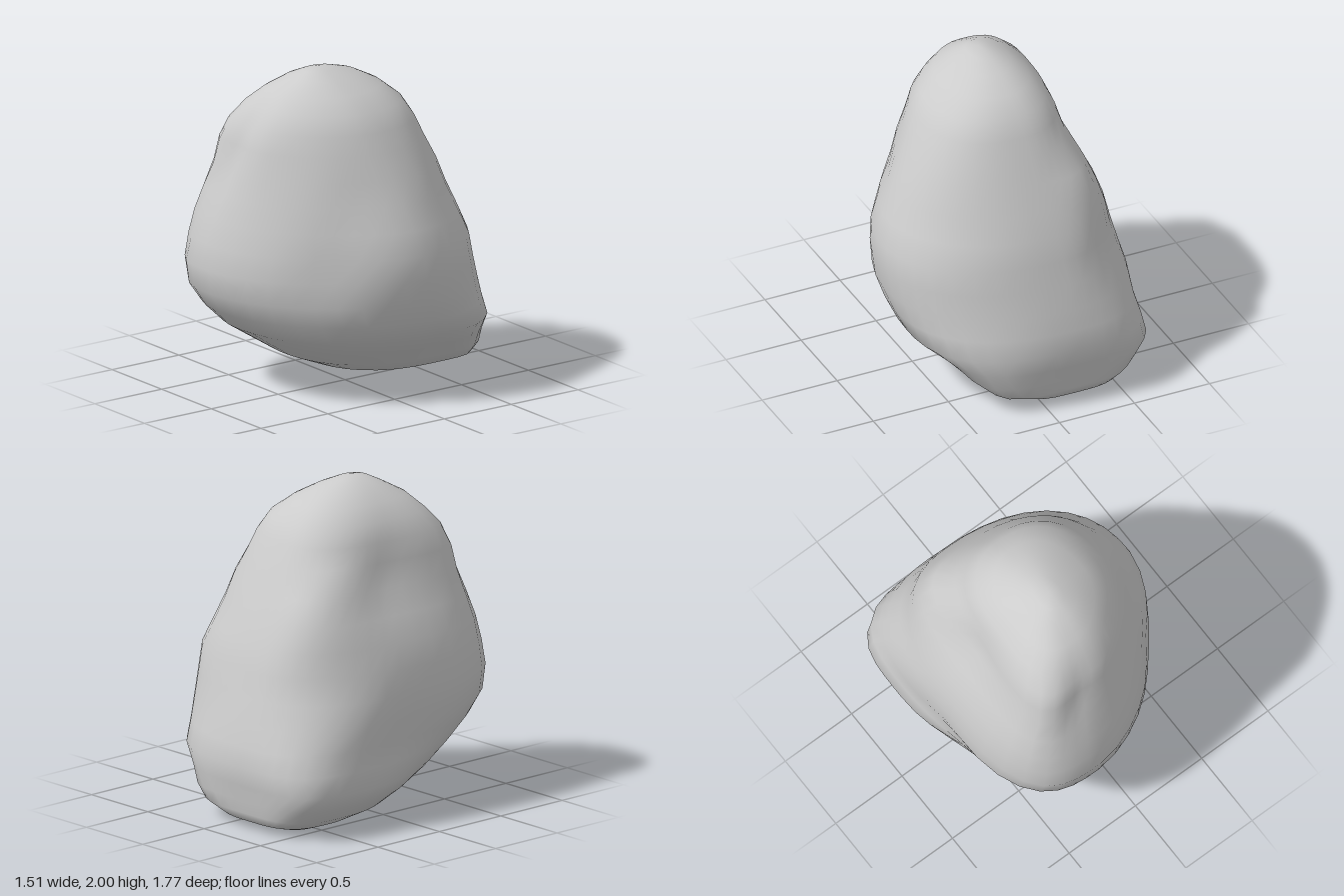
import * as THREE from 'three';

// Horizontal slices: y, xMin, xMax, zBack, zFront, and the x / z of the slice's widest points
const SLICES = [
  [0.01, -0.45, -0.10, -0.68, -0.38, -0.28, -0.52],
  [0.05, -0.56, 0.12, -0.81, -0.13, -0.25, -0.48],
  [0.10, -0.64, 0.30, -0.83, 0.13, -0.24, -0.42],
  [0.18, -0.70, 0.40, -0.84, 0.32, -0.22, -0.37],
  [0.28, -0.76, 0.50, -0.86, 0.48, -0.20, -0.32],
  [0.40, -0.74, 0.65, -0.88, 0.67, -0.18, -0.24],
  [0.52, -0.73, 0.70, -0.85, 0.79, -0.18, -0.16],
  [0.65, -0.74, 0.74, -0.82, 0.87, -0.18, -0.10],
  [0.80, -0.72, 0.75, -0.77, 0.89, -0.18, -0.06],
  [0.95, -0.69, 0.75, -0.73, 0.86, -0.16, -0.04],
  [1.10, -0.64, 0.70, -0.68, 0.82, -0.14, 0.0],
  [1.25, -0.58, 0.64, -0.61, 0.77, -0.12, 0.03],
  [1.40, -0.51, 0.58, -0.54, 0.73, -0.10, 0.06],
  [1.55, -0.48, 0.50, -0.46, 0.69, -0.08, 0.09],
  [1.67, -0.44, 0.44, -0.40, 0.65, -0.06, 0.11],
  [1.78, -0.38, 0.37, -0.33, 0.56, -0.05, 0.13],
  [1.87, -0.29, 0.26, -0.22, 0.48, -0.04, 0.15],
  [1.94, -0.20, 0.14, -0.08, 0.36, -0.03, 0.17],
  [1.98, -0.11, 0.05, 0.06, 0.28, -0.03, 0.18],
];
const SEGMENTS = 40;

// Corner roundness by height (2 is an ellipse, more is squarer):
// y, front +x, front -x, back -x, back +x
const CORNERS = [
  [0.00, 2.2, 2.0, 2.6, 4.0],
  [0.12, 2.5, 2.0, 3.6, 5.0],
  [0.32, 2.3, 2.1, 4.2, 2.7],
  [0.60, 1.8, 2.9, 2.8, 2.2],
  [0.90, 1.65, 3.3, 2.0, 2.3],
  [1.18, 1.65, 4.2, 2.9, 2.1],
  [1.40, 1.65, 5.0, 3.8, 2.3],
  [1.55, 1.6, 5.5, 2.2, 2.4],
  [1.75, 1.65, 4.5, 2.2, 2.6],
  [2.00, 2.0, 2.2, 2.1, 2.1],
];

// Shallow hollows: centre, radius, depth
const DENTS = [
  [new THREE.Vector3(-0.16, 1.60, 0.68), 0.12, 0.03],
  [new THREE.Vector3(-0.24, 1.38, 0.74), 0.13, 0.03],
  [new THREE.Vector3(-0.46, 1.48, 0.0), 0.24, 0.045],
  [new THREE.Vector3(0.52, 1.28, 0.25), 0.25, 0.035],
  [new THREE.Vector3(0.50, 0.85, 0.50), 0.20, 0.03],
  [new THREE.Vector3(-0.72, 0.50, 0.10), 0.25, 0.03],
];

function roundness(c, s, y) {
  const column = s > 0 ? (c > 0 ? 1 : 2) : (c > 0 ? 4 : 3);
  const k = CORNERS.findIndex((row) => row[0] > y);
  const low = CORNERS[k - 1], high = CORNERS[k];
  return THREE.MathUtils.mapLinear(y, low[0], high[0], low[column], high[column]);
}

function slicePoint([y, x0, x1, z0, z1, cx, cz], angle) {
  const c = Math.cos(angle), s = Math.sin(angle);
  const n = roundness(c, s, y);
  const r = Math.pow(Math.abs(c) ** n + Math.abs(s) ** n, -1 / n);
  const p = new THREE.Vector3(
    cx + r * c * (c > 0 ? x1 - cx : cx - x0), y,
    cz + r * s * (s > 0 ? z1 - cz : cz - z0));
  const inward = new THREE.Vector3(cx - p.x, 0, cz - p.z).normalize();
  for (const [centre, radius, depth] of DENTS) {
    p.addScaledVector(inward, depth * Math.exp(-p.distanceToSquared(centre) / radius ** 2));
  }
  return p;
}

function boulderGeometry() {
  const points = [], index = [];
  for (const slice of SLICES) {
    for (let i = 0; i < SEGMENTS; i++) points.push(slicePoint(slice, i / SEGMENTS * Math.PI * 2));
  }
  // Bottom and top poles
  const bottom = points.push(new THREE.Vector3(-0.27, 0, -0.52)) - 1;
  const top = points.push(new THREE.Vector3(-0.03, 2, 0.18)) - 1;
  const last = (SLICES.length - 1) * SEGMENTS;
  for (let i = 0; i < SEGMENTS; i++) {
    const j = (i + 1) % SEGMENTS;
    for (let k = 0; k < last; k += SEGMENTS) {
      const a = k + i, b = k + j, c = a + SEGMENTS, d = b + SEGMENTS;
      index.push(a, c, b, b, c, d);
    }
    index.push(bottom, i, j, top, last + j, last + i);
  }
  const geometry = new THREE.BufferGeometry().setFromPoints(points);
  geometry.setIndex(index);
  geometry.computeVertexNormals();
  return geometry;
}

export function createModel() {
  const group = new THREE.Group();
  group.name = 'rock';
  const boulder = new THREE.Mesh(boulderGeometry(), new THREE.MeshStandardMaterial({ color: 0xcccccc }));
  boulder.name = 'boulder';
  group.add(boulder);
  return group;
}
